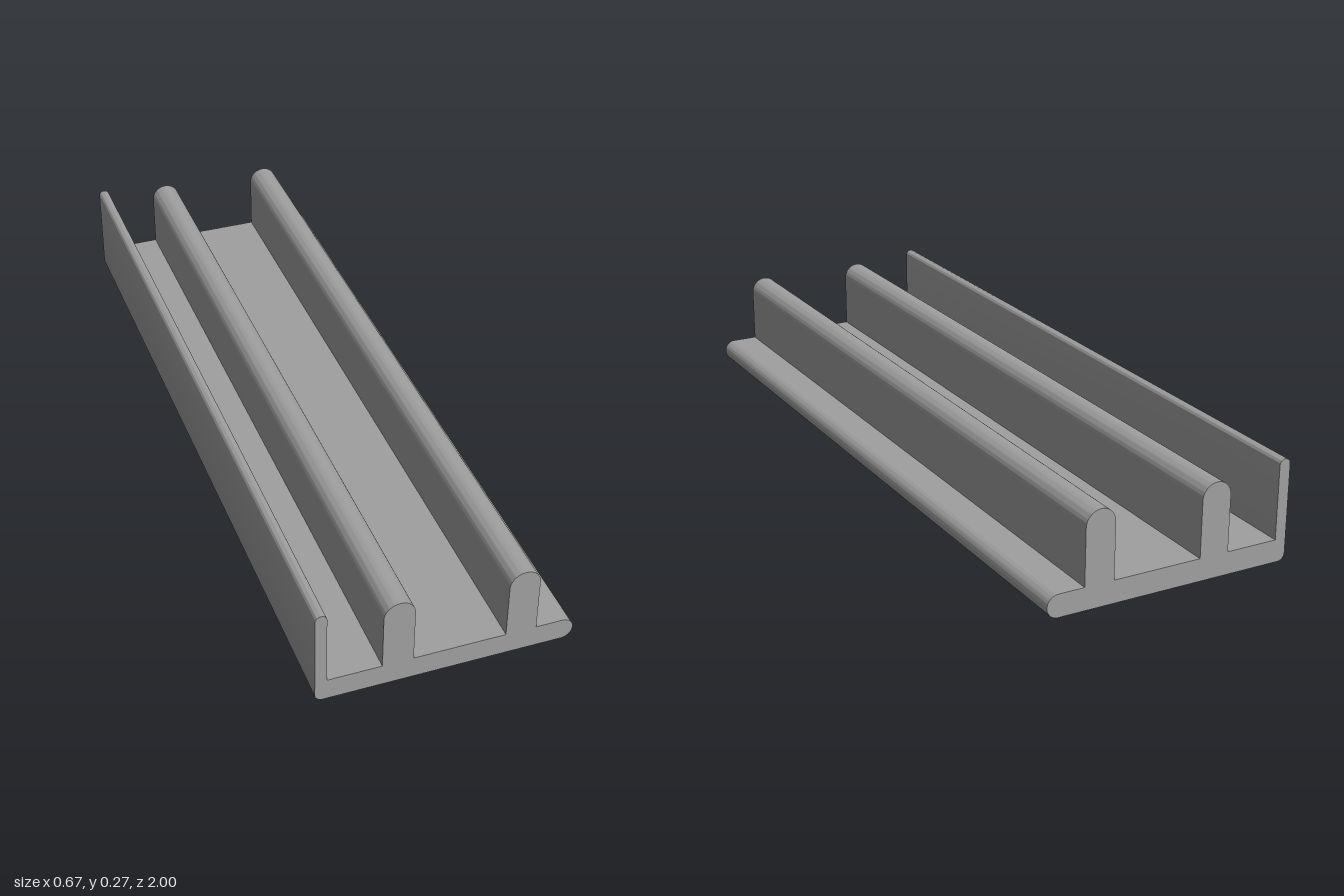
import * as THREE from 'three';
import { toCreasedNormals } from 'three/addons/utils/BufferGeometryUtils.js';

const LENGTH = 2;
const BASE_TOP = 0.06;

export function createModel() {
  const group = new THREE.Group();
  group.name = 'trackRail';
  const grey = new THREE.MeshStandardMaterial({ color: 0xa0a0a0 });
  grey.name = 'grey';

  // Cross-section, drawn counter-clockwise from the bottom left
  const profile = new THREE.Shape();
  profile.moveTo(-0.315, 0);

  // Base with a rounded right edge
  profile.lineTo(0.305, 0);
  profile.absarc(0.305, 0.03, 0.03, -Math.PI / 2, Math.PI / 2, false);

  // Round-topped ribs, from right to left
  for (const x of [0.195, -0.125]) {
    profile.lineTo(x + 0.04, BASE_TOP);
    profile.lineTo(x + 0.04, 0.21);
    profile.absarc(x, 0.21, 0.04, 0, Math.PI, false);
    profile.lineTo(x - 0.04, BASE_TOP);
  }

  // Thin side wall with a rounded top and bottom corner
  profile.lineTo(-0.305, BASE_TOP);
  profile.lineTo(-0.305, 0.255);
  profile.absarc(-0.32, 0.255, 0.015, 0, Math.PI, false);
  profile.lineTo(-0.335, 0.02);
  profile.absarc(-0.315, 0.02, 0.02, Math.PI, Math.PI * 1.5, false);

  const geometry = new THREE.ExtrudeGeometry(profile, {
    depth: LENGTH,
    bevelEnabled: false,
    curveSegments: 20,
  });
  geometry.translate(0, 0, -LENGTH / 2);

  const rail = new THREE.Mesh(toCreasedNormals(geometry, Math.PI / 6), grey);
  rail.name = 'ribbedRail';
  group.add(rail);
  return group;
}
